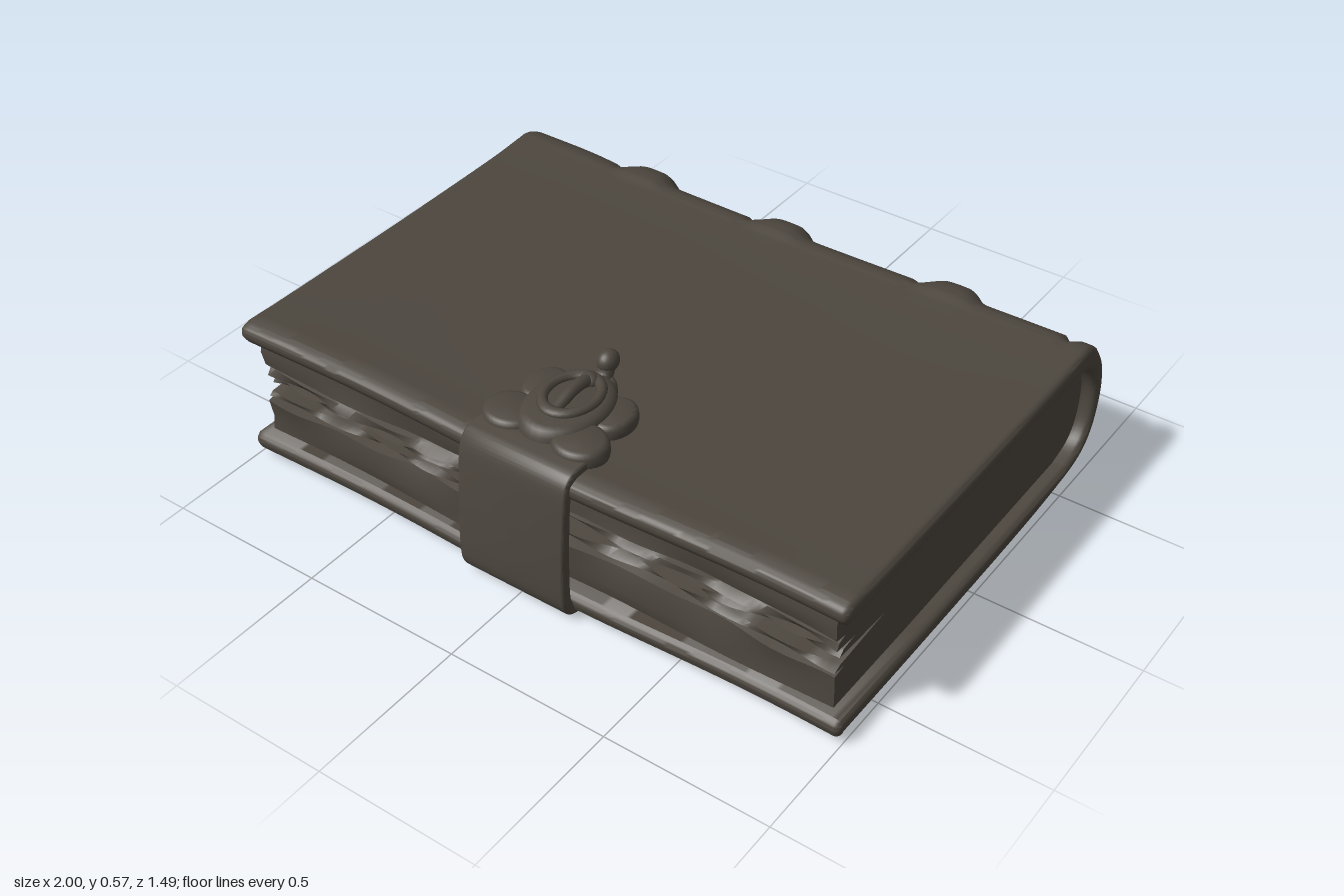
import * as THREE from 'three';
import { toCreasedNormals } from 'three/addons/utils/BufferGeometryUtils.js';

const leather = new THREE.MeshStandardMaterial({ color: 0x4c463e });
leather.name = 'dark leather';

// Shape from [z, y] points; an entry holding an array of points is a smooth curve
function profile(parts) {
  const v = (p) => new THREE.Vector2(-p[0], p[1]);
  const shape = new THREE.Shape();
  parts.forEach((p, i) => {
    if (i === 0) shape.moveTo(-p[0], p[1]);
    else if (Array.isArray(p[0])) shape.splineThru(p.map(v));
    else shape.lineTo(-p[0], p[1]);
  });
  return shape;
}

// Extrude a side profile across x, centred, then move its vertices by a rule
function across(name, parts, x0, x1, bevel, steps, rule) {
  const geo = new THREE.ExtrudeGeometry(profile(parts), {
    depth: x1 - x0 - 2 * bevel, steps, curveSegments: 4,
    bevelEnabled: bevel > 0, bevelSize: bevel, bevelThickness: bevel, bevelOffset: -bevel, bevelSegments: 3,
  });
  geo.rotateY(Math.PI / 2).translate(x0 + bevel, 0, 0);
  if (rule) {
    const pos = geo.attributes.position, p = new THREE.Vector3();
    for (let i = 0; i < pos.count; i++) {
      p.fromBufferAttribute(pos, i);
      rule(p);
      pos.setXYZ(i, p.x, p.y, p.z);
    }
  }
  const mesh = new THREE.Mesh(toCreasedNormals(geo, 0.8), leather);
  mesh.name = name;
  return mesh;
}

// Rounded oval disc
function puck(name, x, y, z, rx, rz, h) {
  const pts = [[0, 0], [0.96, 0], [1, 0.3], [0.98, 0.7], [0.9, 0.93], [0.78, 1], [0, 1]];
  const geo = new THREE.LatheGeometry(pts.map(([r, t]) => new THREE.Vector2(r, t)), 32);
  geo.scale(rx, h, rz);
  const mesh = new THREE.Mesh(toCreasedNormals(geo, 0.9), leather);
  mesh.name = name;
  mesh.position.set(x, y, z);
  return mesh;
}

function tube(name, pts, r) {
  const curve = new THREE.CatmullRomCurve3(pts.map((p) => new THREE.Vector3(...p)));
  const mesh = new THREE.Mesh(new THREE.TubeGeometry(curve, 24, r, 10), leather);
  mesh.name = name;
  return mesh;
}

function ball(name, x, y, z, rx, ry, rz) {
  const mesh = new THREE.Mesh(new THREE.SphereGeometry(1, 20, 14), leather);
  mesh.name = name;
  mesh.position.set(x, y, z);
  mesh.scale.set(rx, ry, rz);
  return mesh;
}

// How far the spine stands out along x: three raised bands, each with a crease beside it
const bump = (x, c, w) => Math.exp(-(((x - c) / w) ** 4));
function spineRelief(x) {
  let d = 0.012 * bump(x, -0.9, 0.22);
  for (const c of [-0.54, -0.04, 0.54]) d += 0.042 * bump(x, c, 0.075) - 0.012 * bump(x, c - 0.105, 0.014);
  return d - 0.025 * bump(x, 0.925, 0.015);
}

export function createModel() {
  const book = new THREE.Group();
  book.name = 'book';

  // Boards and rounded spine in one wrap
  book.add(across('cover', [
    [0.69, 0.03],
    [[0.3, 0.026], [-0.2, 0.028], [-0.45, 0.04], [-0.6, 0.064], [-0.675, 0.13], [-0.703, 0.25],
      [-0.685, 0.36], [-0.64, 0.435], [-0.612, 0.46]],
    [[-0.585, 0.474], [-0.54, 0.48], [-0.4, 0.472], [0, 0.466], [0.4, 0.466], [0.66, 0.468]],
    [[0.69, 0.455], [0.695, 0.43], [0.68, 0.405]],
    [0.3, 0.407], [-0.52, 0.412],
    [[-0.6, 0.38], [-0.645, 0.31], [-0.655, 0.24], [-0.64, 0.16], [-0.6, 0.11], [-0.52, 0.085]],
    [0.3, 0.078], [0.68, 0.082],
    [[0.698, 0.06], [0.69, 0.03]],
  ], -1, 1, 0.018, 140, (p) => {
    const w = THREE.MathUtils.smoothstep(-p.z, 0.52, 0.66);
    const k = spineRelief(p.x) * w;
    const dir = new THREE.Vector2(p.z + 0.42, (p.y - 0.25) * 0.7).normalize();
    p.z += dir.x * k;
    p.y += dir.y * k * 0.7;
    // slightly sunken panel and uneven edges
    if (p.y > 0.44 && p.z > -0.56 && p.z < 0.62) p.y -= 0.005 * bump(p.x, 0, 0.93);
    if (p.z > 0.6) p.z += 0.006 * Math.sin(p.x * 5 + 1);
    p.y += 0.005 * Math.sin(p.x * 3.2 - 1.5);
  }));

  // Page block, with ragged gaps in its front edge
  book.add(across('pages', [
    [0.65, 0.07],
    [0.655, 0.13], [0.65, 0.195], [0.6, 0.205], [0.645, 0.213], [0.64, 0.228], [0.42, 0.24],
    [0.63, 0.25], [0.635, 0.265], [0.58, 0.272], [0.65, 0.285], [0.645, 0.305], [0.615, 0.312],
    [0.65, 0.32], [0.655, 0.37], [0.65, 0.425],
    [-0.52, 0.425],
    [[-0.62, 0.39], [-0.665, 0.31], [-0.672, 0.24], [-0.66, 0.16], [-0.61, 0.1], [-0.52, 0.07]],
  ], -0.965, 0.955, 0, 90, (p) => {
    if (p.z < 0.35) return;
    const x = p.x, mid = Math.exp(-(((p.y - 0.25) / 0.06) ** 2));
    p.z += 0.008 * Math.sin(x * 7 + p.y * 40) + 0.012 * mid * Math.sin(x * 19 + p.y * 160);
    p.y += mid * (0.012 * Math.sin(x * 3 + 0.6) + 0.004 * Math.sin(x * 23 + p.y * 90));
  }));

  // Strap folded round the front edge
  book.add(across('strap', [
    [0.635, 0.03],
    [[0.64, 0.01], [0.675, 0.004], [0.715, 0.018], [0.74, 0.055], [0.746, 0.11], [0.742, 0.22],
      [0.73, 0.36], [0.718, 0.44], [0.695, 0.475], [0.66, 0.487]],
    [0.59, 0.487], [0.59, 0.455],
    [[0.65, 0.452], [0.685, 0.43], [0.698, 0.36], [0.708, 0.2], [0.708, 0.08], [0.69, 0.05], [0.66, 0.045]],
  ], -0.18, 0.175, 0.008, 1));

  // Clasp: lobed plate, oval boss, ring and hook
  const clasp = new THREE.Group();
  clasp.name = 'clasp';
  for (const s of [-1, 1]) {
    clasp.add(puck('frontLobe', s * 0.115, 0.455, 0.575, 0.082, 0.075, 0.052));
    clasp.add(puck('backLobe', s * 0.115, 0.455, 0.43, 0.06, 0.078, 0.045));
  }
  clasp.add(puck('ovalBoss', 0, 0.455, 0.48, 0.118, 0.16, 0.066));
  clasp.add(puck('bossNeck', 0, 0.455, 0.36, 0.06, 0.06, 0.05));
  const ring = new THREE.Mesh(new THREE.TorusGeometry(0.072, 0.014, 10, 32), leather);
  ring.name = 'ring';
  ring.rotation.x = Math.PI / 2;
  ring.scale.y = 1.25;
  ring.position.set(0, 0.525, 0.46);
  clasp.add(ring);
  clasp.add(tube('pin', [[0, 0.515, 0.37], [0, 0.535, 0.41], [0, 0.538, 0.46], [0, 0.52, 0.53]], 0.018));
  clasp.add(ball('pinHead', 0, 0.525, 0.385, 0.028, 0.022, 0.025));
  clasp.add(tube('hook', [[0, 0.49, 0.4], [0, 0.49, 0.35], [0, 0.505, 0.322], [0, 0.54, 0.305]], 0.025));
  clasp.add(ball('hookTip', 0, 0.54, 0.302, 0.03, 0.033, 0.036));
  book.add(clasp);

  return book;
}
